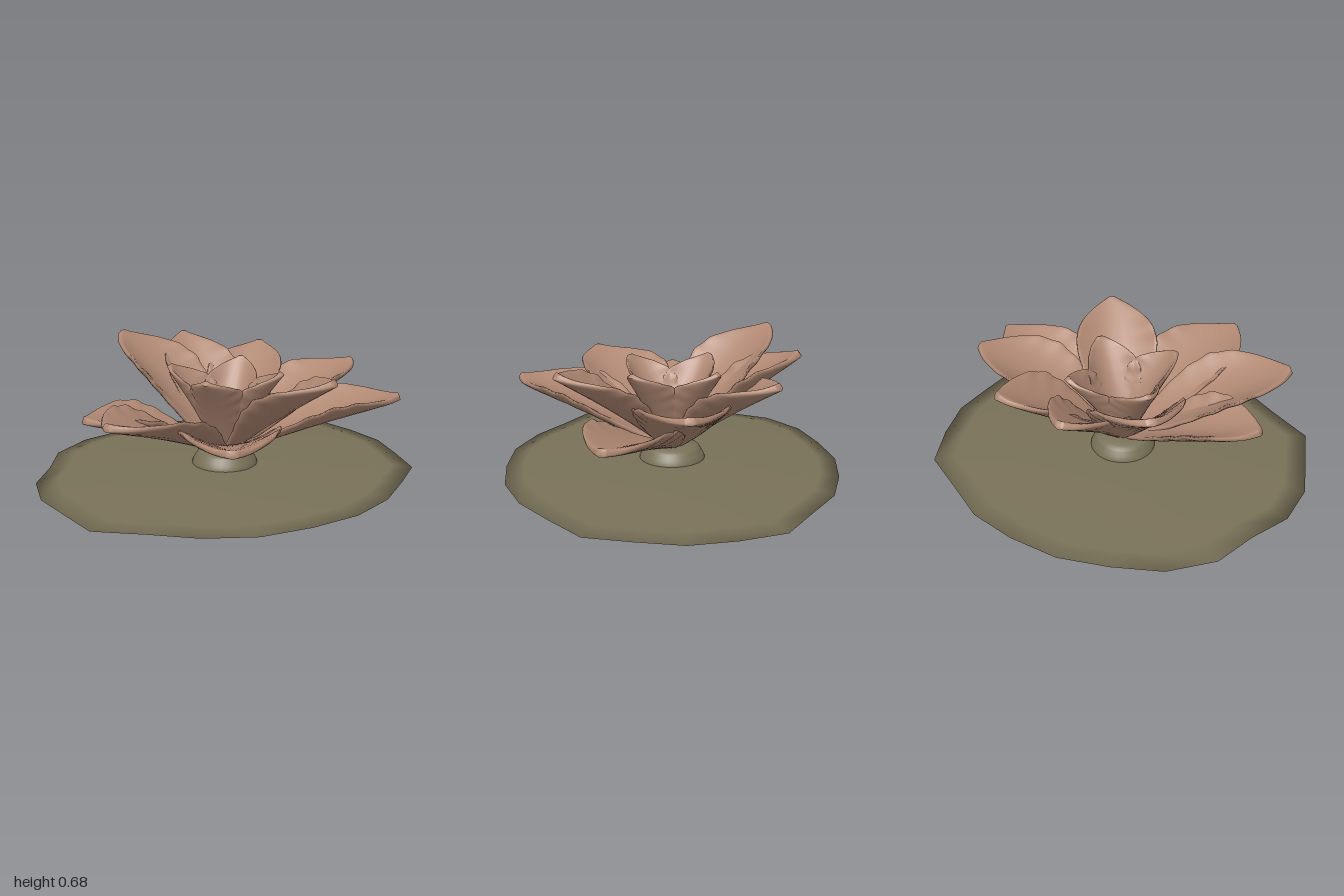
import * as THREE from 'three';

// Smooth closed skin over a list of equal-length rings of points
function loft(rings) {
  const n = rings[0].length, index = [];
  for (let i = 0; i < rings.length - 1; i++) {
    for (let j = 0; j < n; j++) {
      const a = i * n + j, b = i * n + (j + 1) % n;
      index.push(a, b, a + n, b, b + n, a + n);
    }
  }
  const geo = new THREE.BufferGeometry().setFromPoints(rings.flat());
  geo.setIndex(index);
  geo.computeVertexNormals();
  return geo;
}

// Half-width of a petal from base to tip
const outline = new THREE.SplineCurve([
  [0, 0.2], [0.2, 0.55], [0.4, 0.87], [0.6, 1], [0.77, 0.85], [0.91, 0.48], [1, 0.09],
].map(p => new THREE.Vector2(...p)));

// Cupped petal with a thick ruffled rim, running from the flower's heart to its tip
function petalGeometry(tip, width, cup, thickness) {
  const flat = new THREE.Vector3(tip.x, 0, tip.z).normalize();
  const base = flat.clone().multiplyScalar(0.025).setY(0.11);
  const dir = tip.clone().sub(base);
  const side = new THREE.Vector3(0, 1, 0).cross(dir).normalize();
  const normal = dir.clone().normalize().cross(side);
  const rings = [], steps = 40, around = 28;
  for (let i = -1; i <= steps + 1; i++) {
    const { x: t, y: w } = outline.getPoint(THREE.MathUtils.clamp(i / steps, 0, 1));
    const shrink = i < 0 || i > steps ? 0 : 1; // closes both ends
    const ring = [];
    for (let j = 0; j < around; j++) {
      const a = j / around * Math.PI * 2;
      const v = Math.cos(a) * w * shrink;
      const skin = Math.sign(Math.sin(a)) * Math.sqrt(Math.abs(Math.sin(a))) * thickness / 2 * shrink;
      const ruffle = 0.006 * Math.sin(t * 45) * v ** 4;
      const lift = cup * v * v + 0.012 * Math.sin(Math.PI * t) + skin + ruffle;
      ring.push(base.clone().addScaledVector(dir, t)
        .addScaledVector(side, v * width).addScaledVector(normal, lift));
    }
    rings.push(ring);
  }
  return loft(rings);
}

// Irregular pad edge as x, z
const padEdge = [
  [0, -0.88], [0.26, -0.84], [0.5, -0.76], [0.7, -0.61], [0.905, -0.46], [0.97, -0.23],
  [1, 0], [0.95, 0.23], [0.89, 0.455], [0.7, 0.61], [0.5, 0.76], [0.26, 0.855],
  [0, 0.875], [-0.26, 0.855], [-0.5, 0.75], [-0.7, 0.6], [-0.91, 0.455], [-0.955, 0.23],
  [-1, 0], [-0.96, -0.23], [-0.83, -0.42], [-0.72, -0.63], [-0.51, -0.78], [-0.26, -0.845],
];

export function createModel() {
  const flower = new THREE.Group();
  flower.name = 'waterFlower';
  const pink = new THREE.MeshStandardMaterial({ color: 0xb08873 });
  pink.name = 'dusty pink';
  const olive = new THREE.MeshStandardMaterial({ color: 0x797158 });
  olive.name = 'olive green';
  const add = (name, geo, mat) => {
    const mesh = new THREE.Mesh(geo, mat);
    mesh.name = name;
    flower.add(mesh);
  };

  // Floating leaf: scale and height of each ring, top centre to underside centre
  const padRings = [[0, 0.038], [0.45, 0.035], [0.89, 0.012], [1, 0], [0.89, 0.003], [0, 0.008]];
  add('lilyPad', loft(padRings.map(([s, y]) =>
    padEdge.map(([x, z]) => new THREE.Vector3(x * s, y, z * s)))), olive);

  // Domed bulb holding the petals, showing slightly under the pad
  const dome = new THREE.SplineCurve([
    [0, 0.001], [0.1, 0.003], [0.16, 0.014], [0.173, 0.035], [0.155, 0.075], [0.12, 0.108], [0, 0.128],
  ].map(p => new THREE.Vector2(...p)));
  add('receptacle', new THREE.LatheGeometry(dome.getPoints(24), 32), olive);

  // Outer petals: tip x, y, z and half-width
  [
    [0.06, 0.605, -0.65, 0.2],
    [-0.35, 0.665, -0.555, 0.24],
    [0.475, 0.545, -0.475, 0.205],
    [0.81, 0.495, -0.03, 0.235],
    [0.85, 0.375, 0.36, 0.225],
    [0.29, 0.565, 0.58, 0.22],
    [-0.38, 0.39, 0.815, 0.245],
    [-0.79, 0.45, 0.4, 0.245],
    [-0.75, 0.355, -0.05, 0.21],
  ].forEach(([x, y, z, w], i) =>
    add(`outerPetal${i + 1}`, petalGeometry(new THREE.Vector3(x, y, z), w, 0.1, 0.04), pink));

  // Four upright inner petals
  for (const sx of [-1, 1]) {
    for (const sz of [-1, 1]) {
      const tip = new THREE.Vector3(sx * 0.215, 0.54, sz * 0.215);
      add(`innerPetal${sx < 0 ? 'Right' : 'Left'}${sz < 0 ? 'Back' : 'Front'}`,
        petalGeometry(tip, 0.145, 0.1, 0.03), pink);
    }
  }
  return flower;
}
